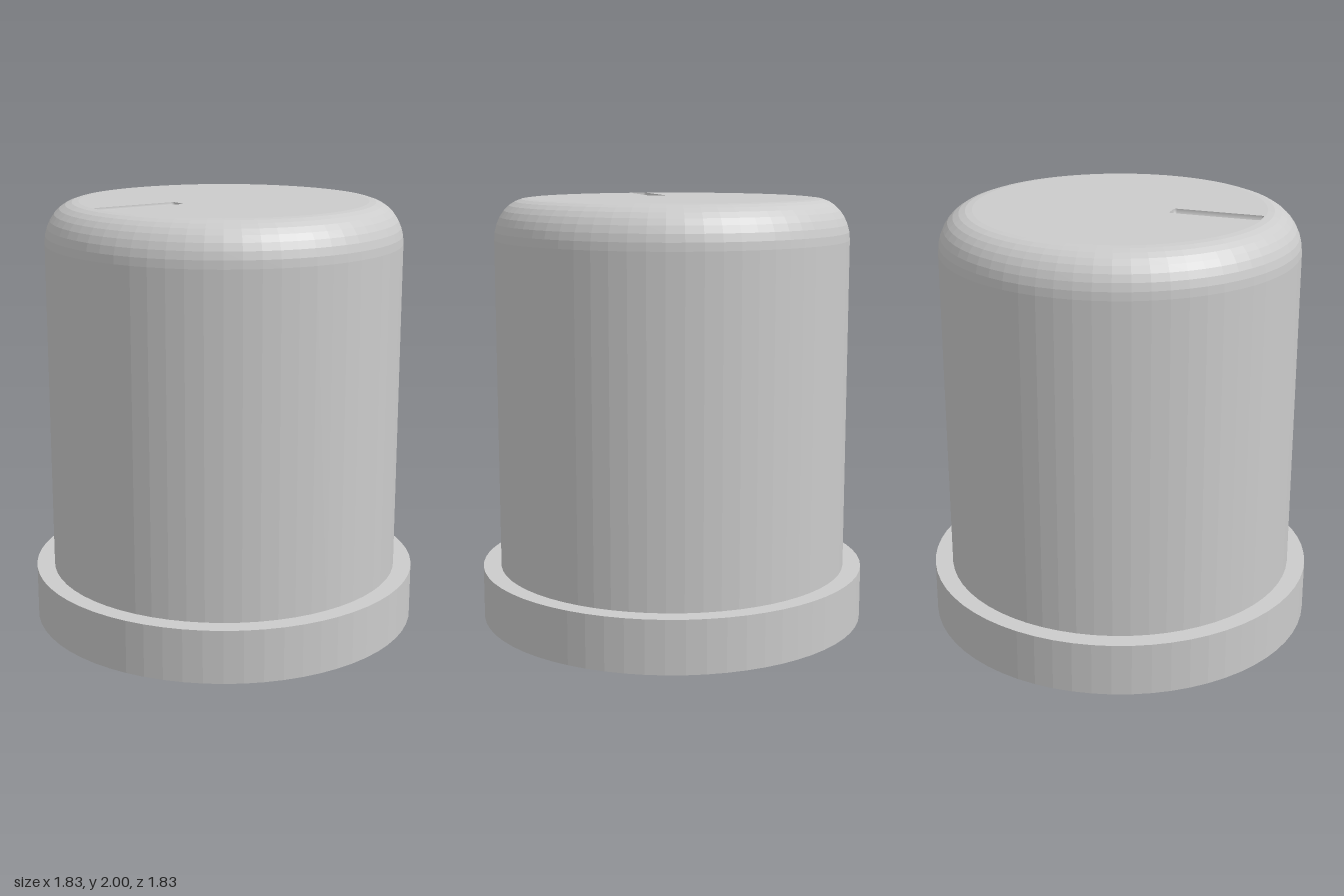
import * as THREE from 'three';

const SEGMENTS = 64;
const TOP = 2;          // overall height
const CAP_RADIUS = 0.67; // flat part of the top

const v = (x, y) => new THREE.Vector2(x, y);

export function createModel() {
  const group = new THREE.Group();
  const material = new THREE.MeshStandardMaterial({ color: 0xcccccc, flatShading: true });
  const grooveMaterial = new THREE.MeshStandardMaterial({ color: 0xcccccc, side: THREE.DoubleSide });

  const add = (name, geometry, mat = material) => {
    const mesh = new THREE.Mesh(geometry, mat);
    mesh.name = name;
    group.add(mesh);
    return mesh;
  };
  const lathe = (points) => new THREE.LatheGeometry(points, SEGMENTS);

  // Hollow underside: flat ceiling, then the bore wall down to the base
  add('socket', lathe([v(0, 0.8), v(0.75, 0.8), v(0.75, 0)]));

  // Wider collar around the base
  add('skirt', lathe([v(0.75, 0), v(0.915, 0), v(0.915, 0.25), v(0.83, 0.25)]));

  // Straight wall with a rounded shoulder
  const wall = [v(0.83, 0.25)];
  for (let i = 0; i <= 8; i++) {
    const a = (i / 8) * Math.PI / 2;
    wall.push(v(CAP_RADIUS + 0.16 * Math.cos(a), TOP - 0.19 + 0.19 * Math.sin(a)));
  }
  add('body', lathe(wall));

  // Half profile of the pointer groove: a rod with softened end corners
  const halfLength = 0.21, radius = 0.042, corner = 0.014;
  const profile = [v(0, -halfLength)];
  for (const end of [-1, 1]) {
    for (let i = 0; i <= 4; i++) {
      const a = (end < 0 ? i - 4 : i) / 4 * Math.PI / 2;
      profile.push(v(radius - corner + corner * Math.cos(a),
        end * (halfLength - corner) + corner * Math.sin(a)));
    }
  }
  profile.push(v(0, halfLength));
  const grooveX = -0.455;

  // Flat top with the groove opening cut out
  const disc = Array.from({ length: SEGMENTS }, (_, i) => {
    const a = (i / SEGMENTS) * Math.PI * 2;
    return v(CAP_RADIUS * Math.cos(a), CAP_RADIUS * Math.sin(a));
  });
  const capShape = new THREE.Shape(disc);
  const upper = profile.map(p => v(grooveX + p.y, p.x));
  const lower = profile.slice(1, -1).reverse().map(p => v(grooveX + p.y, -p.x));
  capShape.holes.push(new THREE.Path([...upper, ...lower]));
  add('top', new THREE.ShapeGeometry(capShape).rotateX(-Math.PI / 2)).position.y = TOP;

  // Half-round groove sunk into the top
  const groove = new THREE.LatheGeometry(profile, 16, 0, Math.PI).rotateZ(-Math.PI / 2);
  add('pointerGroove', groove, grooveMaterial).position.set(grooveX, TOP, 0);

  return group;
}
